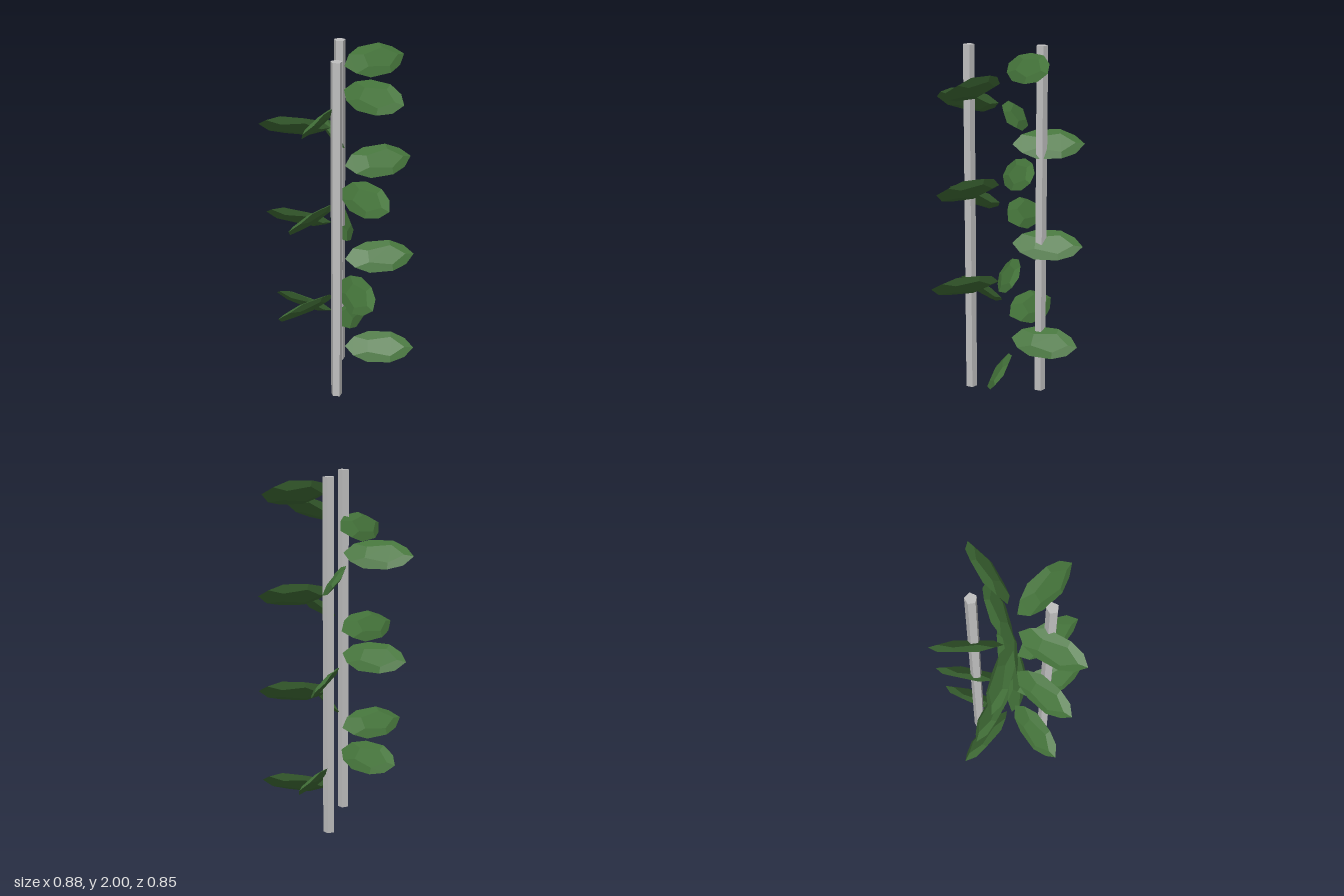
import * as THREE from 'three';

const POLE_R = 0.033, HEIGHT = 2;
const LEAF_COUNT = 16, LEAF_TURN = 1.3, LEAF_START = 0.203, LEAF_RISE = 0.1135;

function namedMaterial(name, color) {
  const m = new THREE.MeshStandardMaterial({ color, flatShading: true });
  m.name = name;
  return m;
}

export function createModel() {
  const model = new THREE.Group();
  model.name = 'climbingPlant';
  const poleGrey = namedMaterial('poleGrey', 0xc0c0c0);
  const leafGreen = namedMaterial('leafGreen', 0x44733a);

  // Plant axis sits slightly forward of the centre
  const plant = new THREE.Group();
  plant.name = 'plant';
  plant.position.set(-0.002, 0, 0.014);
  model.add(plant);

  // Two five-sided poles, front and back
  const poleGeometry = new THREE.CylinderGeometry(POLE_R, POLE_R, HEIGHT, 5).rotateY(Math.PI);
  for (const [name, z] of [['frontPole', 0.2], ['backPole', -0.2]]) {
    const pole = new THREE.Mesh(poleGeometry, poleGrey);
    pole.name = name;
    pole.position.set(0, HEIGHT / 2, z);
    plant.add(pole);
  }

  // Leaf: a flattened dodecahedron with a corner at each tip, tilted about its length
  const leafGeometry = new THREE.DodecahedronGeometry(1)
    .rotateZ(-1.205)
    .scale(0.2, 0.02, 0.098)
    .rotateX(0.87)
    .translate(0.24, 0, 0);
  leafGeometry.computeVertexNormals();

  // Leaves climb in a spiral between the poles
  for (let i = 0; i < LEAF_COUNT; i++) {
    const leaf = new THREE.Mesh(leafGeometry, leafGreen);
    leaf.name = `leaf${i + 1}`;
    leaf.position.y = LEAF_START + i * LEAF_RISE;
    leaf.rotation.y = i * LEAF_TURN;
    plant.add(leaf);
  }
  return model;
}
